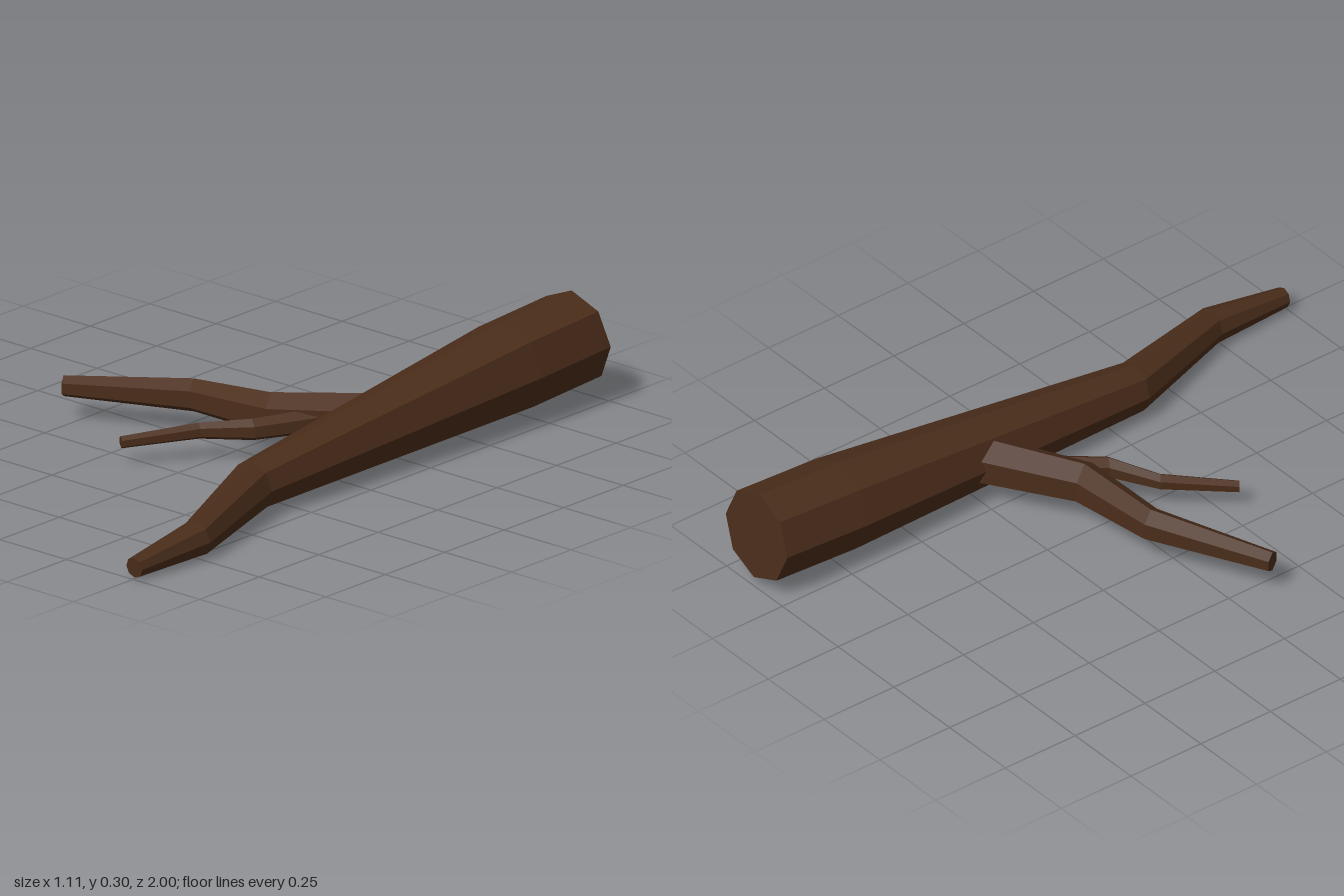
import * as THREE from 'three';

const bark = new THREE.MeshStandardMaterial({ color: 0x4a2d1a, flatShading: true });

// Tapered, faceted limb: rings of [x, y, z, radius], all perpendicular to "facing", one corner up
function limb(name, rings, sides, facing) {
  const normal = new THREE.Vector3(...facing).normalize();
  const side = new THREE.Vector3(0, 1, 0).cross(normal).normalize();
  const up = normal.clone().cross(side);
  const positions = [];
  const index = [];
  for (const [x, y, z, r] of rings) {
    for (let i = 0; i < sides; i++) {
      const a = Math.PI / 2 + (i / sides) * Math.PI * 2;
      const p = new THREE.Vector3(x, y, z)
        .addScaledVector(side, Math.cos(a) * r)
        .addScaledVector(up, Math.sin(a) * r);
      positions.push(p.x, p.y, p.z);
    }
  }
  // Side walls
  for (let k = 0; k < rings.length - 1; k++) {
    for (let i = 0; i < sides; i++) {
      const j = (i + 1) % sides;
      const a = k * sides + i, b = k * sides + j;
      index.push(a, b, b + sides, a, b + sides, a + sides);
    }
  }
  // Flat cut ends
  const last = (rings.length - 1) * sides;
  for (let i = 1; i < sides - 1; i++) {
    index.push(0, i + 1, i);
    index.push(last, last + i, last + i + 1);
  }
  const indexed = new THREE.BufferGeometry();
  indexed.setAttribute('position', new THREE.Float32BufferAttribute(positions, 3));
  indexed.setIndex(index);
  const geometry = indexed.toNonIndexed();
  geometry.computeVertexNormals();
  const mesh = new THREE.Mesh(geometry, bark);
  mesh.name = name;
  return mesh;
}

export function createModel() {
  const group = new THREE.Group();
  group.name = 'fallenBranch';

  // Thick main stem, kinked near its thin end
  group.add(limb('mainStem', [
    [0.378, 0.172, -0.99, 0.138],
    [0.378, 0.156, -0.705, 0.138],
    [0.378, 0.085, 0.36, 0.073],
    [0.503, 0.058, 0.737, 0.053],
    [0.503, 0.04, 0.998, 0.03],
  ], 8, [0, -0.07, 1]));

  // Side branch growing out of the stem
  group.add(limb('sideBranch', [
    [0.36, 0.122, -0.24, 0.074],
    [0.07, 0.115, -0.062, 0.063],
    [-0.2, 0.112, -0.04, 0.049],
    [-0.543, 0.101, 0.122, 0.031],
  ], 6, [-0.88, -0.02, 0.45]));

  // Small twig forking off the side branch
  group.add(limb('twig', [
    [0.21, 0.115, -0.12, 0.037],
    [0.098, 0.103, 0.047, 0.032],
    [-0.032, 0.09, 0.127, 0.024],
    [-0.167, 0.07, 0.303, 0.018],
  ], 6, [-0.55, -0.05, 0.83]));

  return group;
}
